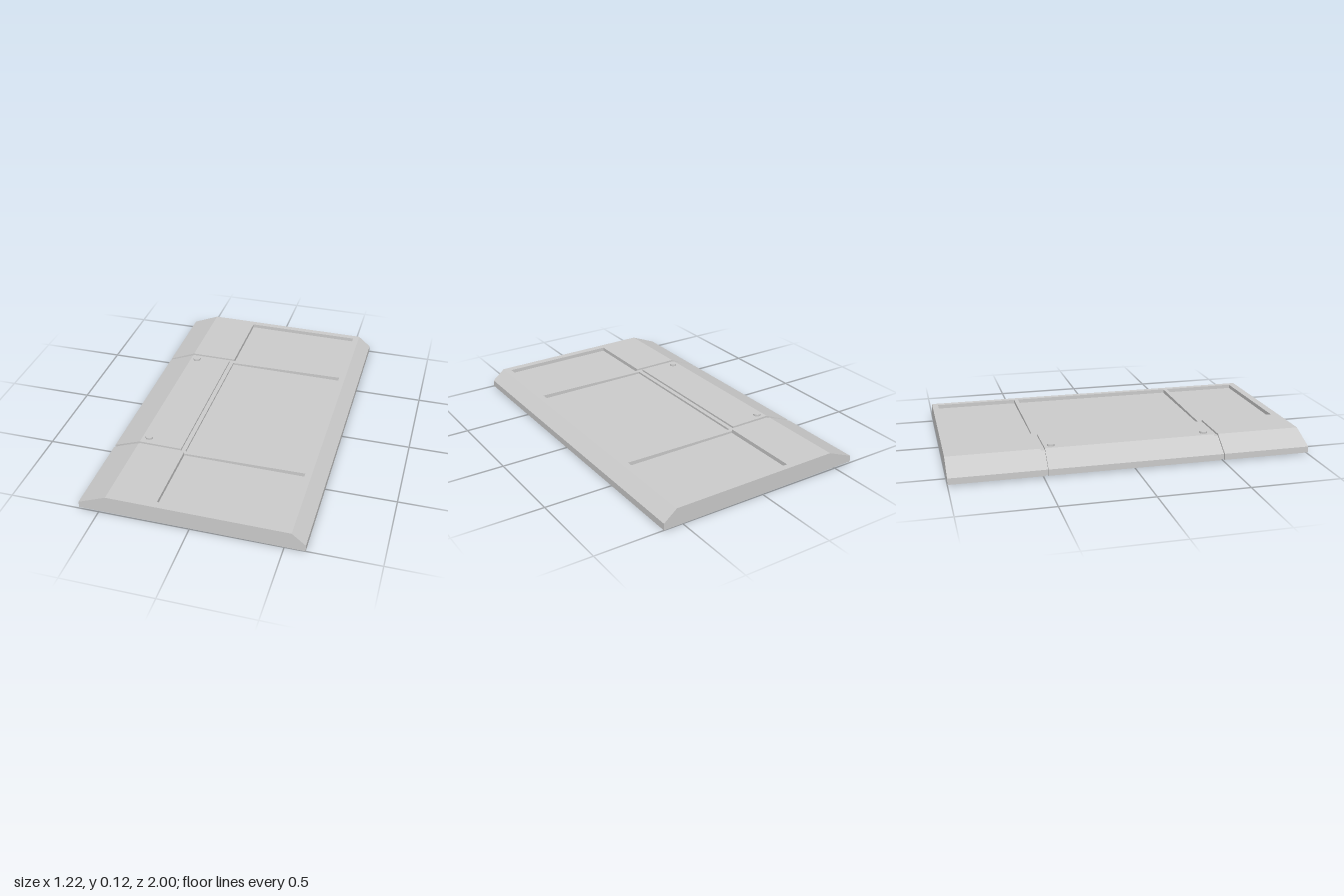
import * as THREE from 'three';

const material = new THREE.MeshStandardMaterial({ color: 0xcccccc, flatShading: true, side: THREE.DoubleSide });

// Gently falling top line and lower rim
const top = x => 0.108 - 0.006 * (x + 0.455) / 0.99;
const base = x => 0.01 - 0.008 * (x + 0.61) / 1.22;
const PANEL_DEPTH = 0.022;
const X0 = -0.185, X1 = 0.5;      // recessed panels
const COWL = -0.21;               // end of the front lid

// Surface spanned between two polylines with the same number of points
function ribbon(a, b) {
  const g = new THREE.BufferGeometry();
  const index = [];
  for (let i = 0; i < a.length - 1; i++) {
    const p = 2 * i;
    index.push(p, p + 1, p + 2, p + 2, p + 1, p + 3);
  }
  g.setAttribute('position', new THREE.Float32BufferAttribute(a.flatMap((p, i) => [...p, ...b[i]]), 3));
  g.setIndex(index);
  const flat = g.toNonIndexed();
  flat.computeVertexNormals();
  return flat;
}

// Gives an [x, y] path a z value, either fixed or one for each point
const at = (path, z) => path.map(([x, y], i) => [x, y, Array.isArray(z) ? z[i] : z]);
const sheet = (path, z0, z1) => ribbon(at(path, z1), at(path, z0));
const wall = (upper, lower, z) => ribbon(at(upper, z), at(lower, z));

export function createModel() {
  const model = new THREE.Group();
  const add = (name, geometry, parent = model) => {
    const mesh = new THREE.Mesh(geometry, material);
    mesh.name = name;
    parent.add(mesh);
    return mesh;
  };
  const group = name => {
    const g = new THREE.Group();
    g.name = name;
    model.add(g);
    return g;
  };

  // Sloping side: outer skin and the sunken channel path below it
  const skin = [[-0.61, base(-0.61)], [-0.61, 0.045], [-0.455, top(-0.455)], [X0, top(X0)]];
  const lidSkin = [...skin.slice(0, 3), [COWL, top(COWL)]];
  const channel = [[-0.595, base(-0.595)], [-0.595, 0.04], [-0.455, 0.097], [X0, 0.096]];
  const lidChannel = [...channel.slice(0, 3), [COWL, 0.0961]];

  // Seam edges, from the rim up to the panels
  const backOuter = [-0.49, -0.49, -0.49, -0.49];
  const backInner = [-0.475, -0.475, -0.465, -0.465];
  const frontInner = [0.485, 0.485, 0.495, 0.497];
  const frontOuter = [0.505, 0.505, 0.52, 0.52];

  add('backFender', sheet(skin, -1, backOuter));
  add('frontFender', sheet(skin, frontOuter, 1));
  add('lid', sheet(lidSkin, backInner, frontInner));

  // Seams between lid and fenders
  const seams = group('seams');
  for (const [outer, inner] of [[backOuter, backInner], [frontOuter, frontInner]]) {
    add('seamFloor', sheet(channel, outer, inner), seams);
    add('seamOuterWall', wall(skin, channel, outer), seams);
    add('seamInnerWall', wall(lidSkin, lidChannel, inner), seams);
  }
  add('cowlFloor', sheet([[COWL, 0.0961], [X0, 0.096]], -0.465, 0.497), seams);
  add('cowlWall', sheet([[COWL, top(COWL)], [COWL, 0.0961]], -0.465, 0.497), seams);

  // Frame around the panels, with two cross ribs
  const frame = group('frame');
  const level = [[X0, top(X0)], [X1, top(X1)]];
  const rib = [[X0, 0.096], [X1, top(X1)]];
  add('backRail', sheet(level, -1, -0.965), frame);
  add('frontRail', sheet(level, 0.957, 1), frame);
  add('backRib', sheet(rib, -0.49, -0.465), frame);
  add('frontRib', sheet(rib, 0.497, 0.52), frame);
  add('steepSide', sheet([[X1, top(X1)], [0.535, top(0.535)], [0.61, 0.04], [0.61, base(0.61)]], -1, 1), frame);

  // Recessed panels: z range, edge line at each end, height at the seam side
  const floor = [[X0, top(X0) - PANEL_DEPTH], [X1, top(X1) - PANEL_DEPTH]];
  const panels = [
    ['backPanel', -0.965, -0.49, level, rib, top(X0)],
    ['middlePanel', -0.465, 0.497, rib, rib, 0.096],
    ['frontPanel', 0.52, 0.957, rib, level, top(X0)],
  ];
  for (const [name, z0, z1, edge0, edge1, seamY] of panels) {
    const panel = group(name);
    add('panelFloor', sheet(floor, z0, z1), panel);
    add('panelBackWall', wall(edge0, floor, z0), panel);
    add('panelFrontWall', wall(edge1, floor, z1), panel);
    add('panelLowWall', sheet([[X0, seamY], floor[0]], z0, z1), panel);
    add('panelHighWall', sheet([[X1, top(X1)], floor[1]], z0, z1), panel);
  }

  // Flat end walls
  const outline = [[-0.61, 0.045], [-0.455, top(-0.455)], [0.535, top(0.535)], [0.61, 0.04]];
  const rim = outline.map(([x]) => [x, base(x)]);
  for (const z of [-1, 1]) add(z < 0 ? 'backEndWall' : 'frontEndWall', wall(outline, rim, z));

  // Round pins through the lid
  for (const z of [-0.425, 0.447]) {
    add('lidPin', new THREE.CylinderGeometry(0.021, 0.021, 0.026, 16)).position.set(-0.415, 0.106, z);
  }

  return model;
}
